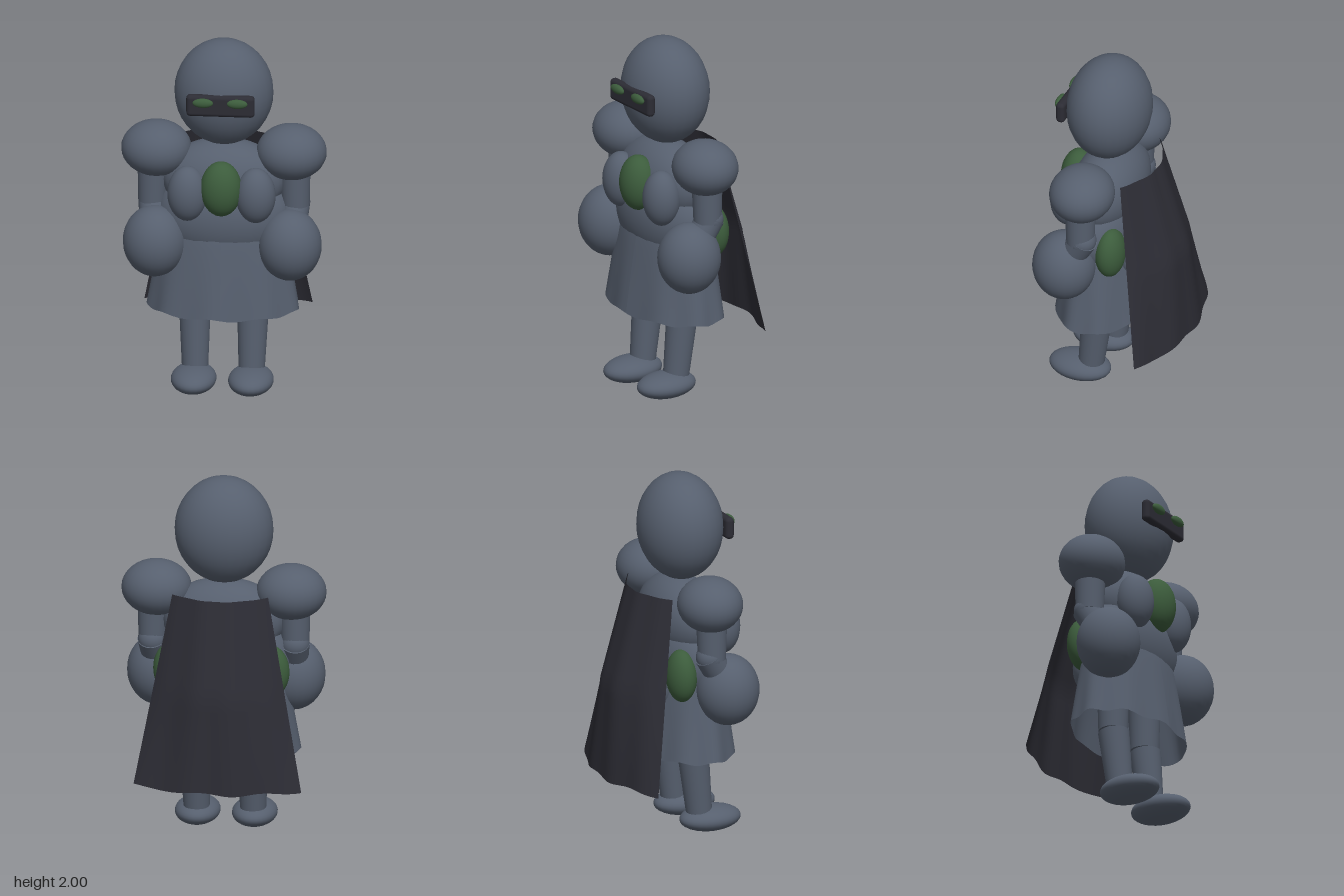
import * as THREE from 'three';
import { RoundedBoxGeometry } from 'three/addons/geometries/RoundedBoxGeometry.js';

const material = (name, color, extra = {}) => {
  const m = new THREE.MeshStandardMaterial({ color, ...extra });
  m.name = name;
  return m;
};

export function createModel() {
  const model = new THREE.Group();
  model.name = 'cloakedFigure';
  const armour = material('slate armour', 0x565f6e, { side: THREE.DoubleSide });
  const green = material('dark green', 0x3c5c3c);
  const cloth = material('charcoal cloth', 0x2c2c34, { side: THREE.DoubleSide });

  const add = (name, geometry, mat) => {
    const mesh = new THREE.Mesh(geometry, mat);
    mesh.name = name;
    model.add(mesh);
    return mesh;
  };
  // Ellipsoid from a centre and three radii
  const ball = (name, mat, centre, radii) => {
    const mesh = add(name, new THREE.SphereGeometry(1, 28, 18), mat);
    mesh.position.set(...centre);
    mesh.scale.set(...radii);
    return mesh;
  };
  // Tapered limb between two points
  const limb = (name, mat, top, bottom, rTop, rBottom) => {
    const a = new THREE.Vector3(...top), b = new THREE.Vector3(...bottom);
    const dir = a.clone().sub(b);
    const mesh = add(name, new THREE.CylinderGeometry(rTop, rBottom, dir.length(), 24), mat);
    mesh.position.copy(a).add(b).multiplyScalar(0.5);
    mesh.quaternion.setFromUnitVectors(new THREE.Vector3(0, 1, 0), dir.normalize());
    return mesh;
  };

  // Head and visor
  ball('head', armour, [0, 1.704, 0.102], [0.268, 0.296, 0.227]);
  const visor = add('visor', new RoundedBoxGeometry(0.37, 0.122, 0.05, 4, 0.022), cloth);
  visor.position.set(0, 1.702, 0.318);

  // Torso
  ball('chest', armour, [0, 1.2, 0.1], [0.335, 0.225, 0.19]);
  ball('belly', armour, [0, 0.99, 0.1], [0.37, 0.27, 0.205]);
  ball('chestGem', green, [0, 1.205, 0.28], [0.112, 0.155, 0.1]);
  ball('backGem', green, [0, 0.9, -0.06], [0.09, 0.145, 0.1]);

  // Mirrored parts
  for (const s of [1, -1]) {
    const side = s > 0 ? 'left' : 'right';
    ball(side + 'Eye', green, [s * 0.093, 1.727, 0.352], [0.056, 0.026, 0.02]);
    ball(side + 'ChestPlate', armour, [s * 0.185, 1.165, 0.26], [0.108, 0.155, 0.1]);
    ball(side + 'BackPlate', armour, [s * 0.11, 0.88, -0.07], [0.1, 0.15, 0.1]);
    ball(side + 'HipGem', green, [s * 0.265, 0.945, -0.022], [0.105, 0.147, 0.08]);
    ball(side + 'ShoulderPad', armour, [s * 0.366, 1.363, 0.1], [0.19, 0.152, 0.176]);
    limb(side + 'UpperArm', armour, [s * 0.382, 1.38, 0.1], [s * 0.388, 1.06, 0.1], 0.088, 0.076);
    limb(side + 'Forearm', armour, [s * 0.388, 1.08, 0.08], [s * 0.37, 0.87, 0.2], 0.079, 0.072);
    ball(side + 'Elbow', armour, [s * 0.388, 1.07, 0.09], [0.078, 0.078, 0.078]);
    ball(side + 'Glove', armour, [s * 0.366, 0.864, 0.206], [0.172, 0.197, 0.173]);
    limb(side + 'Thigh', armour, [s * 0.155, 0.8, 0.1], [s * 0.155, 0.445, 0.1], 0.09, 0.08);
    limb(side + 'Shin', armour, [s * 0.157, 0.435, 0.105], [s * 0.153, 0.09, 0.143], 0.085, 0.07);
    ball(side + 'Foot', armour, [s * 0.155, 0.074, 0.206], [0.123, 0.07, 0.175]);
  }

  // Open skirt, flaring downward into soft folds
  const skirt = new THREE.CylinderGeometry(1, 1, 1, 64, 10, true);
  const sp = skirt.attributes.position;
  for (let i = 0; i < sp.count; i++) {
    const t = 0.5 - sp.getY(i);
    const a = Math.atan2(sp.getX(i), sp.getZ(i));
    const fold = 1 + 0.022 * t * Math.cos(9 * a + 0.8);
    const rx = (0.335 + 0.075 * t) * fold;
    const rz = (0.182 + 0.076 * Math.pow(t, 0.8)) * fold;
    const y = 0.94 - 0.473 * t + 0.008 * t * Math.cos(9 * a + 1.4);
    sp.setXYZ(i, rx * Math.sin(a), y, 0.1 + rz * Math.cos(a));
  }
  skirt.computeVertexNormals();
  add('skirt', skirt, armour);

  // Cape: a curved sheet facing back that falls outward, then hangs steeper
  const cape = new THREE.PlaneGeometry(2, 1, 48, 16);
  const cp = cape.attributes.position;
  for (let i = 0; i < cp.count; i++) {
    const u = -cp.getX(i), t = 0.5 - cp.getY(i);
    const curve = 1 - Math.pow(Math.abs(u), 1.9);
    const edge = -0.075 - (0.178 - 0.012 * u) * t;
    const depth = 0.108 + 0.015 * t + 0.055 * (1 - Math.abs(2 * t - 1));
    const ripple = (0.003 + 0.003 * t) * Math.sin(u * 11 + 0.8);
    const x = u * (0.26 + 0.196 * t) - 0.006 * t;
    const y = 1.38 - 1.033 * t + 0.007 * t * Math.sin(u * 8);
    cp.setXYZ(i, x, y, edge - depth * curve + ripple);
  }
  cape.computeVertexNormals();
  add('cape', cape, cloth);

  return model;
}
